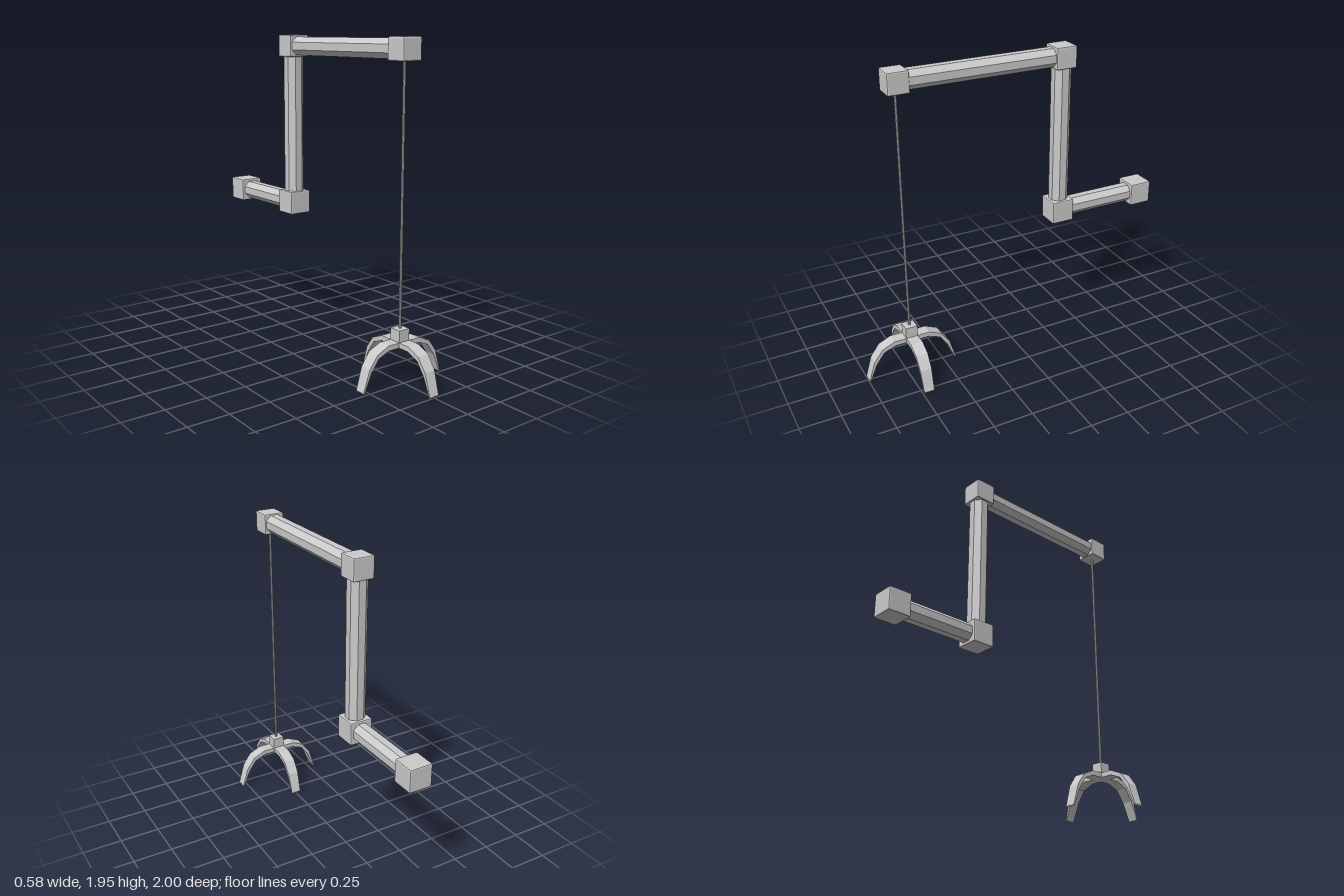
import * as THREE from 'three';
import { RoundedBoxGeometry } from 'three/addons/geometries/RoundedBoxGeometry.js';

export function createModel() {
  const model = new THREE.Group();
  model.name = 'craneArm';
  const material = new THREE.MeshStandardMaterial({ color: 0xcccccc, flatShading: true });

  const add = (name, geometry, x, y, z, parent = model) => {
    const mesh = new THREE.Mesh(geometry, material);
    mesh.name = name;
    mesh.position.set(x, y, z);
    parent.add(mesh);
    return mesh;
  };

  // Bevelled cube joints: name, y, z, size
  const joints = [
    ['tipJoint', 1.885, 0.71, 0.13],
    ['elbowJoint', 1.885, -0.335, 0.135],
    ['baseJoint', 0.89, -0.335, 0.146],
    ['mountJoint', 0.89, -0.927, 0.146],
  ];
  for (const [name, y, z, s] of joints) {
    add(name, new RoundedBoxGeometry(s, s, s, 1, 0.008), 0, y, z);
  }

  // Octagonal beams between neighbouring joints, with flat sides facing the axes
  ['boomBeam', 'uprightBeam', 'mountBeam'].forEach((name, i) => {
    const [, y0, z0] = joints[i];
    const [, y1, z1] = joints[i + 1];
    const length = Math.hypot(y1 - y0, z1 - z0);
    const geometry = new THREE.CylinderGeometry(0.061, 0.061, length, 8);
    geometry.rotateY(Math.PI / 8);
    if (y0 === y1) geometry.rotateX(Math.PI / 2);
    add(name, geometry, 0, (y0 + y1) / 2, (z0 + z1) / 2);
  });

  // Hanging cable
  add('cable', new THREE.CylinderGeometry(0.008, 0.008, 1.53, 8), 0, 1.075, 0.71);

  // Grabber: hub block and four curved, tapering claws
  const grabber = new THREE.Group();
  grabber.name = 'grabber';
  grabber.position.z = 0.71;
  model.add(grabber);
  add('grabberHub', new THREE.BoxGeometry(0.075, 0.085, 0.075), 0, 0.2775, 0, grabber);

  const profile = [
    [0, 0.25], [0.115, 0.25], [0.195, 0.215], [0.25, 0.14], [0.29, 0.008],
    [0.285, 0], [0.238, 0.115], [0.185, 0.19], [0.112, 0.22], [0, 0.22],
  ].map(([x, y]) => new THREE.Vector2(x, y));
  const clawGeometry = new THREE.ExtrudeGeometry(new THREE.Shape(profile), {
    depth: 0.076, bevelEnabled: false,
  });
  clawGeometry.translate(0, 0, -0.038);
  // Narrow the claw towards its tip
  const p = clawGeometry.attributes.position;
  for (let i = 0; i < p.count; i++) {
    const drop = Math.max(0, 0.22 - p.getY(i)) / 0.22;
    p.setZ(i, p.getZ(i) * (1 - 0.15 * drop));
  }
  clawGeometry.computeVertexNormals();
  for (let i = 0; i < 4; i++) {
    add('claw' + (i + 1), clawGeometry, 0, 0, 0, grabber).rotation.y = (i * Math.PI) / 2;
  }

  return model;
}
